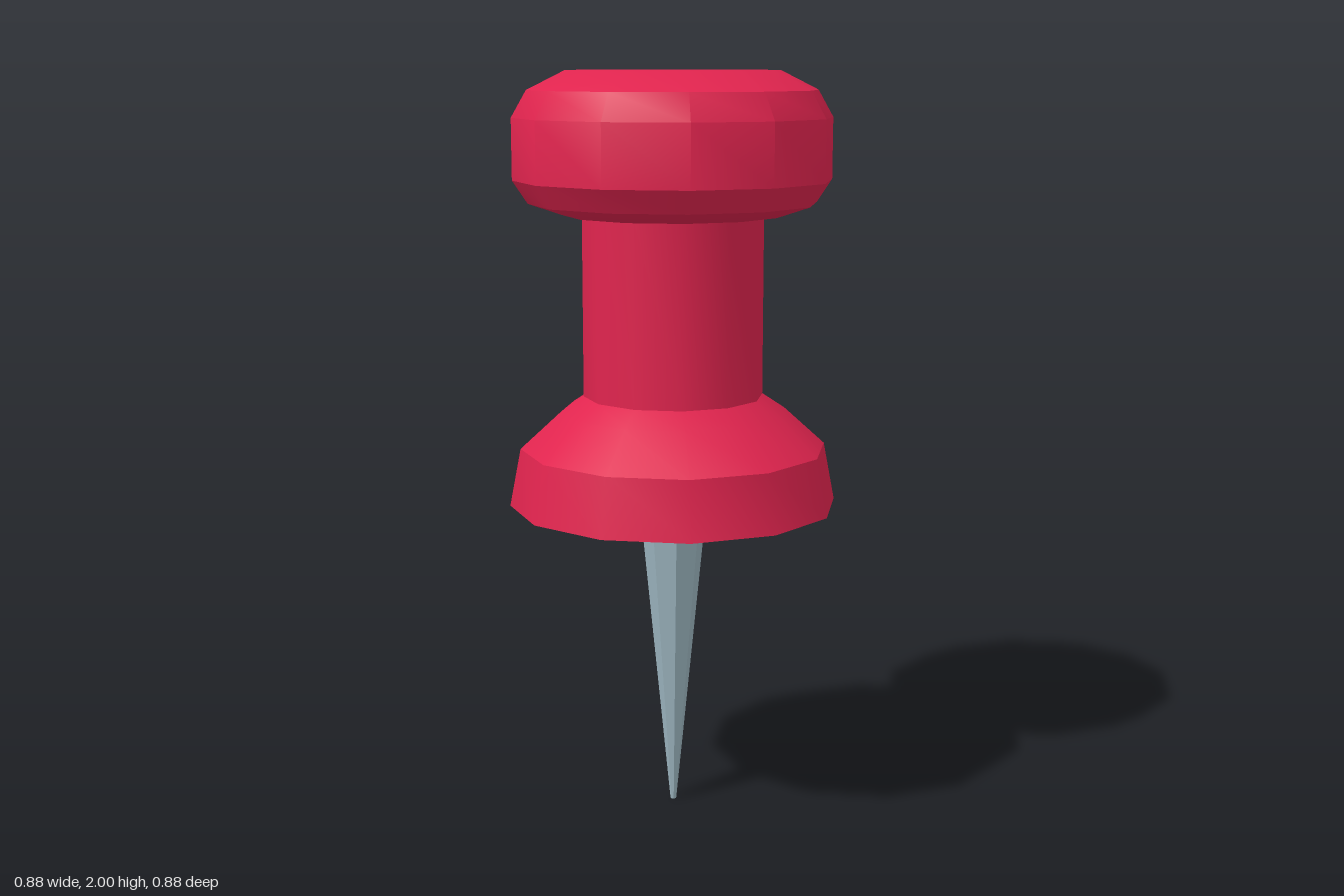
import * as THREE from 'three';
import { toCreasedNormals } from 'three/addons/utils/BufferGeometryUtils.js';

// Turned part from a bottom-to-top profile of [radius, height] points
function turned(name, profile, sides, material) {
  const points = profile.map(([r, y]) => new THREE.Vector2(r, y));
  const geometry = toCreasedNormals(new THREE.LatheGeometry(points, sides), 0.56);
  const mesh = new THREE.Mesh(geometry, material);
  mesh.name = name;
  return mesh;
}

export function createModel() {
  const model = new THREE.Group();
  model.name = 'pushPin';
  const red = new THREE.MeshStandardMaterial({ color: 0xe0244e });
  const steel = new THREE.MeshStandardMaterial({ color: 0x9bb4be });

  // Handle: flared collar, straight grip and rounded head in one closed profile
  model.add(turned('handle', [
    [0, 0.855], [0.44, 0.855], [0.41, 1.01], [0.3, 1.11], [0.24, 1.15],
    [0.24, 1.63], [0.29, 1.63], [0.38, 1.66], [0.42, 1.72],
    [0.42, 1.88], [0.38, 1.95], [0.28, 2], [0, 2],
  ], 12, red));

  // Needle tapering to a small blunt tip
  model.add(turned('needle', [[0, 0], [0.008, 0], [0.092, 0.855]], 8, steel));

  return model;
}
